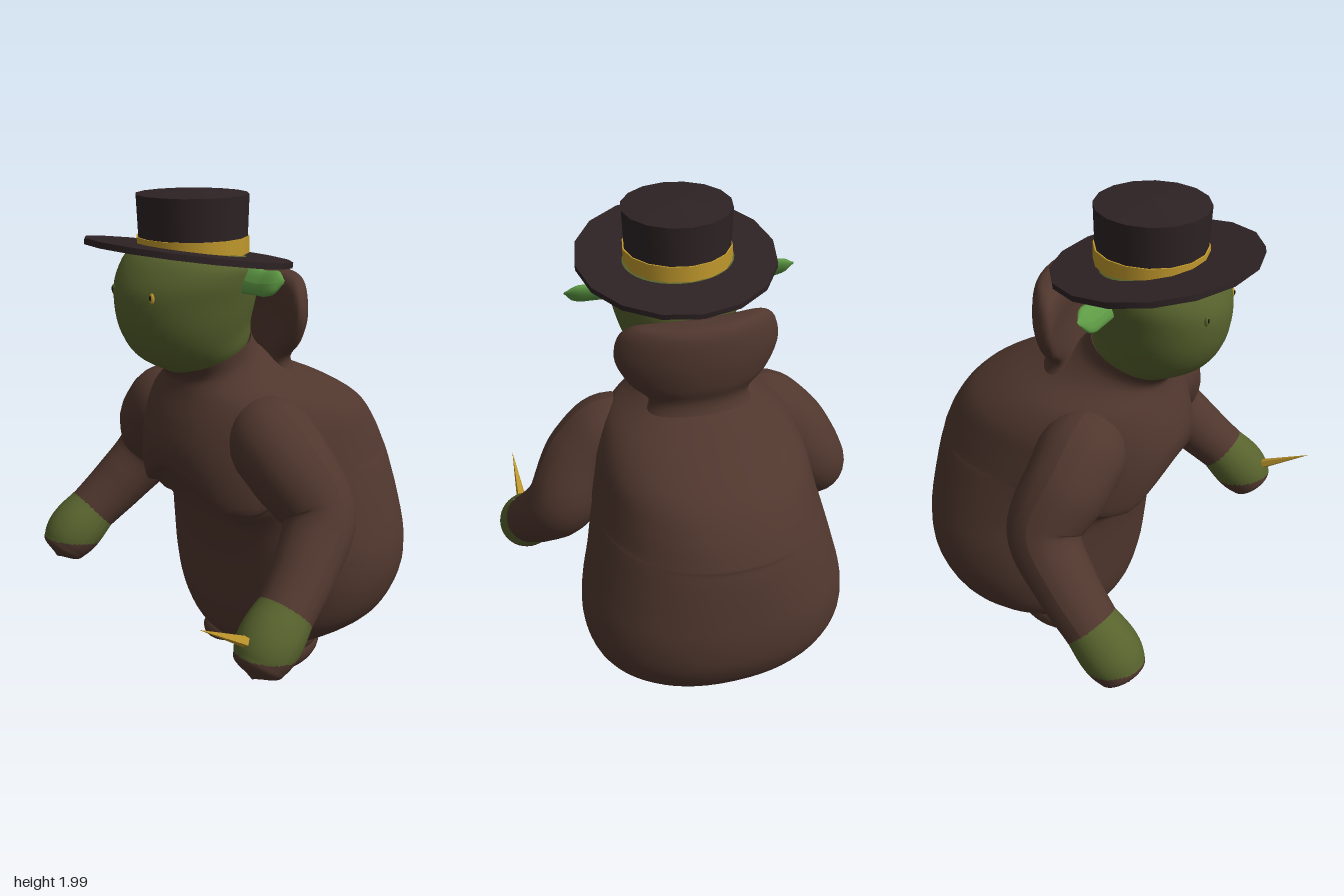
import * as THREE from 'three';

const mat = (name, color) => Object.assign(new THREE.MeshStandardMaterial({ color }), { name });
const V = (x, y, z) => new THREE.Vector3(x, y, z);

// Smooth interpolation through rows of numbers
function sample(rows, t) {
  const f = t * (rows.length - 1), i = Math.min(Math.floor(f), rows.length - 2), u = f - i;
  const at = k => rows[Math.max(0, Math.min(rows.length - 1, k))];
  return rows[i].map((b, n) => {
    const a = at(i - 1)[n], c = at(i + 1)[n], d = at(i + 2)[n];
    return b + 0.5 * u * (c - a + u * (2 * a - 5 * b + 4 * c - d + u * (3 * (b - c) + d - a)));
  });
}

// Upright loft; each row is [y, half width, front z, back z, tilt]; bend curves the ends forward
function loft(rows, { power = 1, bend = 0, seg = 40, steps = 4 } = {}) {
  const pos = [], index = [], rings = (rows.length - 1) * steps;
  const full = rows.map(r => [...r, 0].slice(0, 5));
  const pw = v => Math.sign(v) * Math.abs(v) ** power;
  for (let i = 0; i <= rings; i++) {
    const [y, hw, zf, zb, tilt] = sample(full, i / rings);
    for (let j = 0; j < seg; j++) {
      const a = j / seg * Math.PI * 2;
      const x = hw * pw(Math.cos(a)), dz = (zf - zb) / 2 * pw(Math.sin(a));
      pos.push(x, y + tilt * dz, (zf + zb) / 2 + dz + bend * x * x);
      if (i < rings) {
        const p = i * seg + j, q = i * seg + (j + 1) % seg;
        index.push(p, p + seg, q, q, p + seg, q + seg);
      }
    }
  }
  const g = new THREE.BufferGeometry();
  g.setAttribute('position', new THREE.Float32BufferAttribute(pos, 3));
  g.setIndex(index);
  g.computeVertexNormals();
  return g;
}

// Tube along points whose radius follows a list
function limb(points, radii, steps = 24, seg = 24) {
  const curve = new THREE.CatmullRomCurve3(points);
  const g = new THREE.TubeGeometry(curve, steps, 1, seg);
  const p = g.attributes.position, v = new THREE.Vector3(), rows = radii.map(r => [r]);
  for (let i = 0; i < p.count; i++) {
    const t = Math.floor(i / (seg + 1)) / steps, c = curve.getPointAt(t);
    v.fromBufferAttribute(p, i).sub(c).multiplyScalar(Math.max(0.001, sample(rows, t)[0])).add(c);
    p.setXYZ(i, v.x, v.y, v.z);
  }
  g.computeVertexNormals();
  return g;
}

// Sort triangles into two material groups by a test on their centre
function splitFaces(g, test) {
  const p = g.attributes.position, ix = g.index.array, sets = [[], []];
  for (let i = 0; i < ix.length; i += 3) {
    const c = V(0, 0, 0);
    for (let k = 0; k < 3; k++) c.add(V(0, 0, 0).fromBufferAttribute(p, ix[i + k]));
    sets[test(c.divideScalar(3)) ? 1 : 0].push(ix[i], ix[i + 1], ix[i + 2]);
  }
  g.setIndex(sets.flat());
  g.clearGroups();
  g.addGroup(0, sets[0].length, 0);
  g.addGroup(sets[0].length, sets[1].length, 1);
  return g;
}

export function createModel() {
  const model = new THREE.Group();
  const brown = mat('robe brown', 0x50372e), green = mat('skin green', 0x57622d);
  const earGreen = mat('ear green', 0x5e9a45), dark = mat('hat dark', 0x2d2224);
  const gold = mat('gold', 0xc0982c), black = mat('pupil black', 0x15120f);
  const add = (name, geometry, material) => {
    const m = new THREE.Mesh(geometry, material);
    m.name = name;
    model.add(m);
    return m;
  };

  // Robe: heavy belly, overhanging chest, slanted collar
  const robe = loft([
    [0.13, 0.005, -0.13, -0.14], [0.135, 0.18, 0.03, -0.29], [0.19, 0.32, 0.10, -0.43],
    [0.30, 0.46, 0.13, -0.59], [0.45, 0.52, 0.145, -0.68], [0.60, 0.52, 0.16, -0.70],
    [0.75, 0.485, 0.19, -0.685], [0.87, 0.455, 0.25, -0.665], [0.93, 0.44, 0.29, -0.65],
    [0.955, 0.435, 0.345, -0.645], [1.05, 0.415, 0.37, -0.60], [1.15, 0.39, 0.35, -0.52],
    [1.24, 0.335, 0.315, -0.37], [1.31, 0.235, 0.30, -0.17, -0.08], [1.36, 0.19, 0.305, -0.05, -0.25],
    [1.41, 0.188, 0.33, 0, -0.4],
  ], { power: 0.92, seg: 64 });
  // The chest fold arches down at both ends
  const rp = robe.attributes.position;
  for (let i = 0; i < rp.count; i++) {
    const x = Math.min(Math.abs(rp.getX(i)), 0.24), y = rp.getY(i);
    const front = THREE.MathUtils.smoothstep(rp.getZ(i), 0, 0.2);
    rp.setY(i, y - 2.2 * x * x * front * Math.exp(-(((y - 0.94) / 0.15) ** 2)));
  }
  robe.computeVertexNormals();
  add('body', robe, brown);

  // Thick collar flap standing behind the head
  add('hood', loft([
    [1.22, 0.27, -0.02, -0.29], [1.29, 0.215, -0.04, -0.21], [1.36, 0.195, -0.05, -0.18],
    [1.43, 0.265, -0.06, -0.20], [1.52, 0.31, -0.07, -0.215], [1.60, 0.305, -0.07, -0.215],
    [1.655, 0.27, -0.08, -0.205], [1.68, 0.20, -0.11, -0.18], [1.682, 0.004, -0.14, -0.145],
  ], { power: 0.85, bend: 0.9 }), brown);

  // Head
  add('head', loft([
    [1.35, 0.13, 0.26, 0.04, -0.4], [1.405, 0.186, 0.33, 0, -0.4], [1.47, 0.215, 0.44, -0.005, -0.3],
    [1.54, 0.238, 0.50, -0.015, -0.15], [1.62, 0.256, 0.515, -0.02], [1.70, 0.272, 0.49, -0.01],
    [1.755, 0.262, 0.43, 0.01, 0.1], [1.785, 0.18, 0.35, 0.08, 0.1], [1.79, 0.004, 0.222, 0.218],
  ]), green);

  // Hat: tilted brim, faceted crown, band
  const brim = add('hatBrim', new THREE.CylinderGeometry(0.385, 0.385, 0.022, 16), dark);
  brim.position.set(0, 1.77, 0.23);
  brim.rotation.x = -0.156;
  add('hatCrown', new THREE.CylinderGeometry(0.208, 0.2, 0.21, 16), dark).position.set(0, 1.875, 0.21);
  add('hatTop', new THREE.ConeGeometry(0.208, 0.02, 16), dark).position.set(0, 1.99, 0.21);
  add('hatBand', new THREE.CylinderGeometry(0.208, 0.208, 0.06, 16), gold).position.set(0, 1.8, 0.21);

  for (const s of [1, -1]) {
    const side = s > 0 ? 'left' : 'right';

    // Sleeve, growing out of a rounded shoulder
    add(side + 'Arm', limb([
      V(s * 0.12, 1.13, 0.08), V(s * 0.27, 1.12, 0.10), V(s * 0.41, 1.02, 0.09), V(s * 0.53, 0.85, 0.05),
      V(s * 0.595, 0.70, 0.17), V(s * 0.64, 0.57, 0.31),
    ], [0.02, 0.155, 0.165, 0.15, 0.13, 0.118, 0.108], 40), brown);

    // Hand, with a brown underside
    add(side + 'Hand', splitFaces(limb([
      V(s * 0.637, 0.58, 0.30), V(s * 0.652, 0.49, 0.395), V(s * 0.664, 0.392, 0.475),
    ], [0.108, 0.112, 0.116, 0.118, 0.117, 0.112, 0.101, 0.08, 0.001], 48, 40),
    c => c.y < 0.465 + 0.2 * (c.z - 0.4)), [green, brown]);

    // Slanted ear, broad near the tip
    const ear = limb([V(s * 0.23, 1.70, 0), V(s * 0.34, 1.695, 0), V(s * 0.445, 1.712, 0)],
      [0.05, 0.048, 0.044, 0.042, 0.044, 0.036, 0.004], 18, 14);
    const p = ear.attributes.position;
    for (let i = 0; i < p.count; i++) {
      p.setZ(i, 0.16 + p.getZ(i) * 0.5 - 0.5 * (p.getY(i) - 1.70));
    }
    ear.computeVertexNormals();
    add(side + 'Ear', ear, earGreen);

    // Foot and ankle
    const foot = add(side + 'Foot', new THREE.SphereGeometry(1, 28, 20), brown);
    foot.scale.set(0.105, 0.092, 0.168);
    foot.position.set(s * 0.16, 0.1, -0.135);
    foot.rotation.set(0.08, s * 0.1, 0);
    const ankle = add(side + 'Ankle', new THREE.SphereGeometry(1, 20, 14), brown);
    ankle.scale.set(0.115, 0.11, 0.145);
    ankle.position.set(s * 0.165, 0.18, -0.14);

    // Small eye
    const eye = add(side + 'Eye', new THREE.SphereGeometry(1, 12, 8), s > 0 ? gold : green);
    eye.scale.set(0.011, 0.02, 0.008);
    eye.position.set(s * 0.12, 1.645, 0.48);
    const pupil = add(side + 'Pupil', new THREE.SphereGeometry(1, 8, 6), black);
    pupil.scale.set(0.005, 0.009, 0.004);
    pupil.position.set(s * 0.12, 1.648, 0.487);
  }

  // Golden spike held in the left hand
  const base = V(0.655, 0.51, 0.44), tip = V(0.655, 0.655, 0.695);
  const dir = tip.clone().sub(base);
  const spikeGeo = new THREE.ConeGeometry(0.027, dir.length(), 5).toNonIndexed();
  spikeGeo.computeVertexNormals();
  const spike = add('spike', spikeGeo, gold);
  spike.position.copy(base).addScaledVector(dir, 0.5);
  spike.quaternion.setFromUnitVectors(V(0, 1, 0), dir.normalize());

  return model;
}
